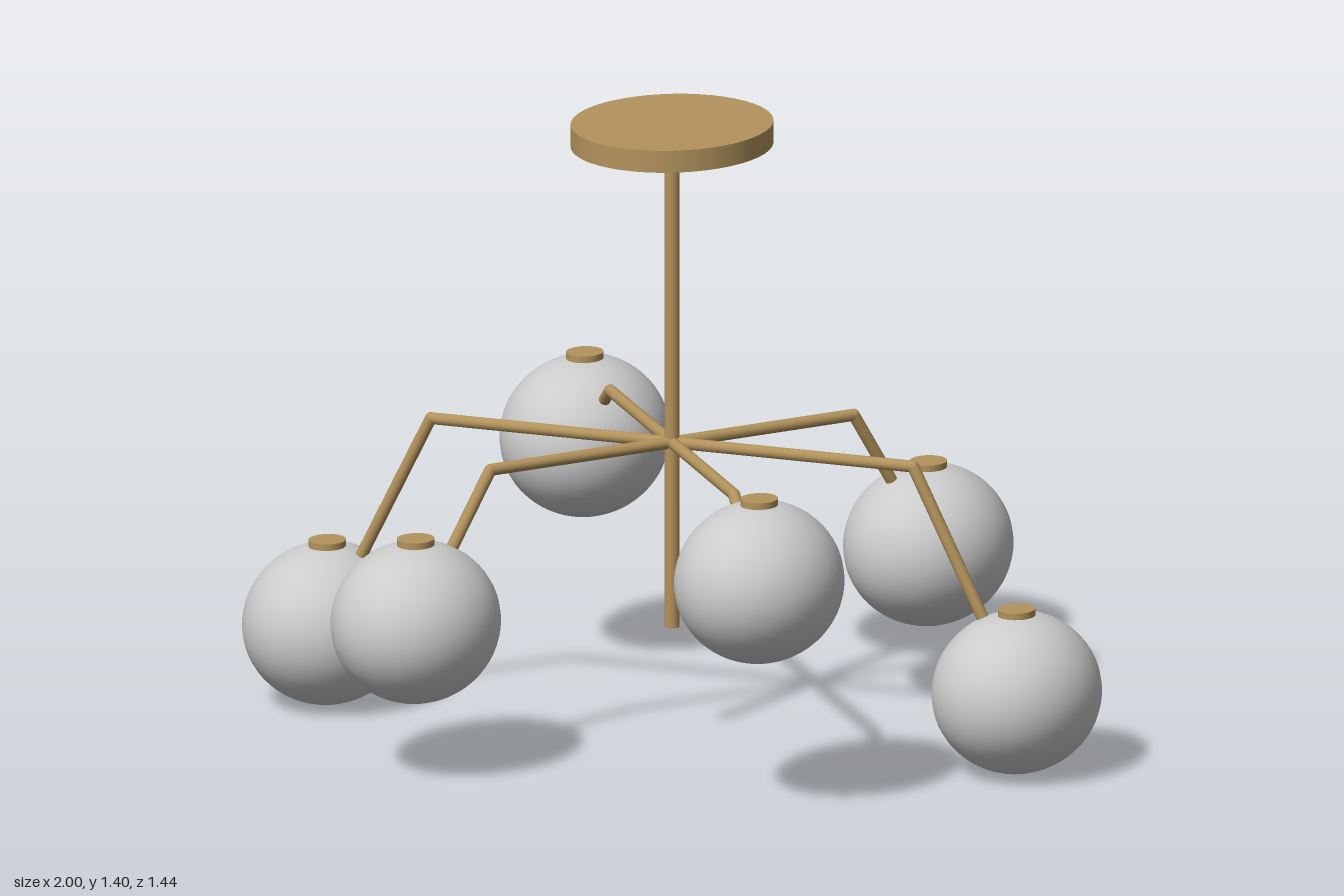
import * as THREE from 'three';

export function createModel() {
  const model = new THREE.Group();
  model.name = 'pendantLamp';
  const brass = new THREE.MeshStandardMaterial({ color: 0xb3935c });
  const glass = new THREE.MeshStandardMaterial({ color: 0xcccccc });
  const stretch = 1.125; // discs and globes are deeper than wide

  function add(parent, name, geometry, material, x = 0, y = 0, z = 0) {
    const mesh = new THREE.Mesh(geometry, material);
    mesh.name = name;
    mesh.position.set(x, y, z);
    parent.add(mesh);
    return mesh;
  }

  // Round bar between two points
  function bar(parent, name, a, b, radius) {
    const along = b.clone().sub(a);
    const mesh = add(parent, name, new THREE.CylinderGeometry(radius, radius, along.length(), 12), brass);
    mesh.position.copy(a).add(b).multiplyScalar(0.5);
    mesh.quaternion.setFromUnitVectors(new THREE.Vector3(0, 1, 0), along.normalize());
  }

  // Ceiling plate and central stem
  const plate = new THREE.CylinderGeometry(0.22, 0.22, 0.05, 48).scale(1, 1, stretch);
  add(model, 'ceilingPlate', plate, brass, 0, 1.375, 0);
  bar(model, 'stem', new THREE.Vector3(0, 0.25, 0), new THREE.Vector3(0, 1.36, 0), 0.017);

  const globeGeometry = new THREE.SphereGeometry(1, 48, 32).scale(0.185, 0.18, 0.207);
  const capGeometry = new THREE.CylinderGeometry(0.041, 0.041, 0.02, 24).scale(1, 1, stretch);
  const jointGeometry = new THREE.SphereGeometry(0.0135, 12, 8);

  // Bent arm carrying a capped globe
  function branch(name, elbow, globe) {
    const group = new THREE.Group();
    group.name = name;
    bar(group, 'arm', new THREE.Vector3(0, elbow.y, 0), elbow, 0.0135);
    add(group, 'elbow', jointGeometry, brass, elbow.x, elbow.y, elbow.z);
    bar(group, 'drop', elbow, globe, 0.0135);
    add(group, 'globe', globeGeometry, glass, globe.x, globe.y, globe.z);
    add(group, 'cap', capGeometry, brass, globe.x, globe.y + 0.18, globe.z);
    model.add(group);
  }

  // Three branch kinds, each repeated half a turn round the stem
  const kinds = [
    ['lowBranch', [0.57, 0.67, 0], [0.815, 0.18, 0]],
    ['highBranch', [0.288, 0.67, 0.364], [0.406, 0.52, 0.514]],
    ['middleBranch', [0.288, 0.67, -0.364], [0.406, 0.35, -0.514]],
  ];
  for (const [name, e, g] of kinds) {
    for (const [side, s] of [['Left', 1], ['Right', -1]]) {
      branch(name + side, new THREE.Vector3(s * e[0], e[1], s * e[2]),
        new THREE.Vector3(s * g[0], g[1], s * g[2]));
    }
  }
  return model;
}
